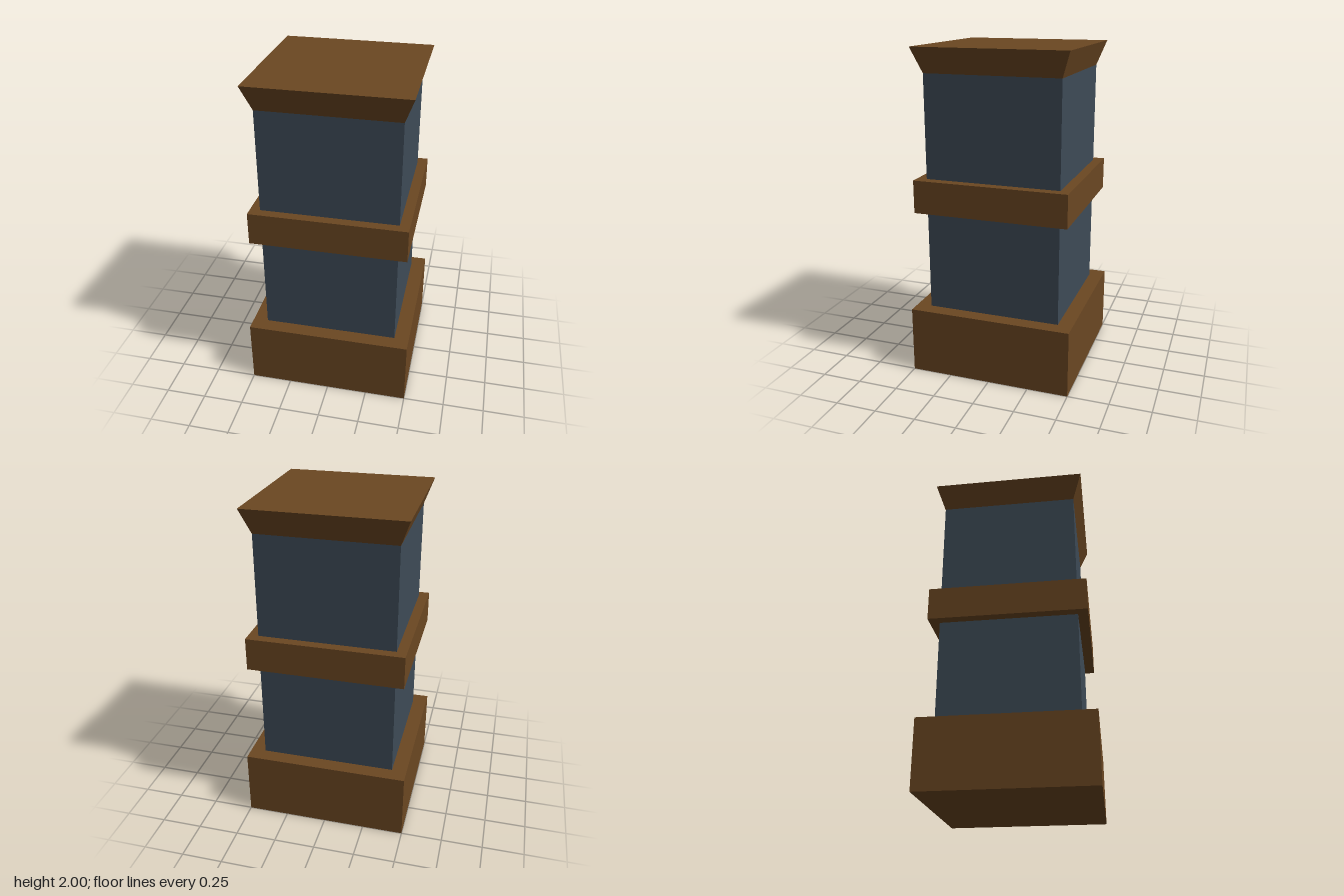
import * as THREE from 'three';

const wood = new THREE.MeshStandardMaterial({ color: 0x6b4722 });
wood.name = 'brown wood';
const slate = new THREE.MeshStandardMaterial({ color: 0x3e4b57 });
slate.name = 'slate blue';

// Square block from y0 to y1, with its own half width at the bottom and top
function block(name, material, y0, y1, bottom, top = bottom) {
  const geometry = new THREE.BoxGeometry(2, y1 - y0, 2);
  const p = geometry.attributes.position;
  for (let i = 0; i < p.count; i++) {
    const half = p.getY(i) > 0 ? top : bottom;
    p.setX(i, p.getX(i) * half);
    p.setZ(i, p.getZ(i) * half);
  }
  geometry.computeVertexNormals();
  const mesh = new THREE.Mesh(geometry, material);
  mesh.name = name;
  mesh.position.y = (y0 + y1) / 2;
  return mesh;
}

export function createModel() {
  const pillar = new THREE.Group();
  pillar.name = 'pillar';
  pillar.add(
    block('base', wood, 0, 0.41, 0.5),
    block('lowerShaft', slate, 0.41, 1.03, 0.41),
    block('middleBand', wood, 1.03, 1.23, 0.47),
    block('upperShaft', slate, 1.23, 1.85, 0.41),
    // Cap flares outward toward the top
    block('cap', wood, 1.85, 2, 0.41, 0.464),
  );
  return pillar;
}
